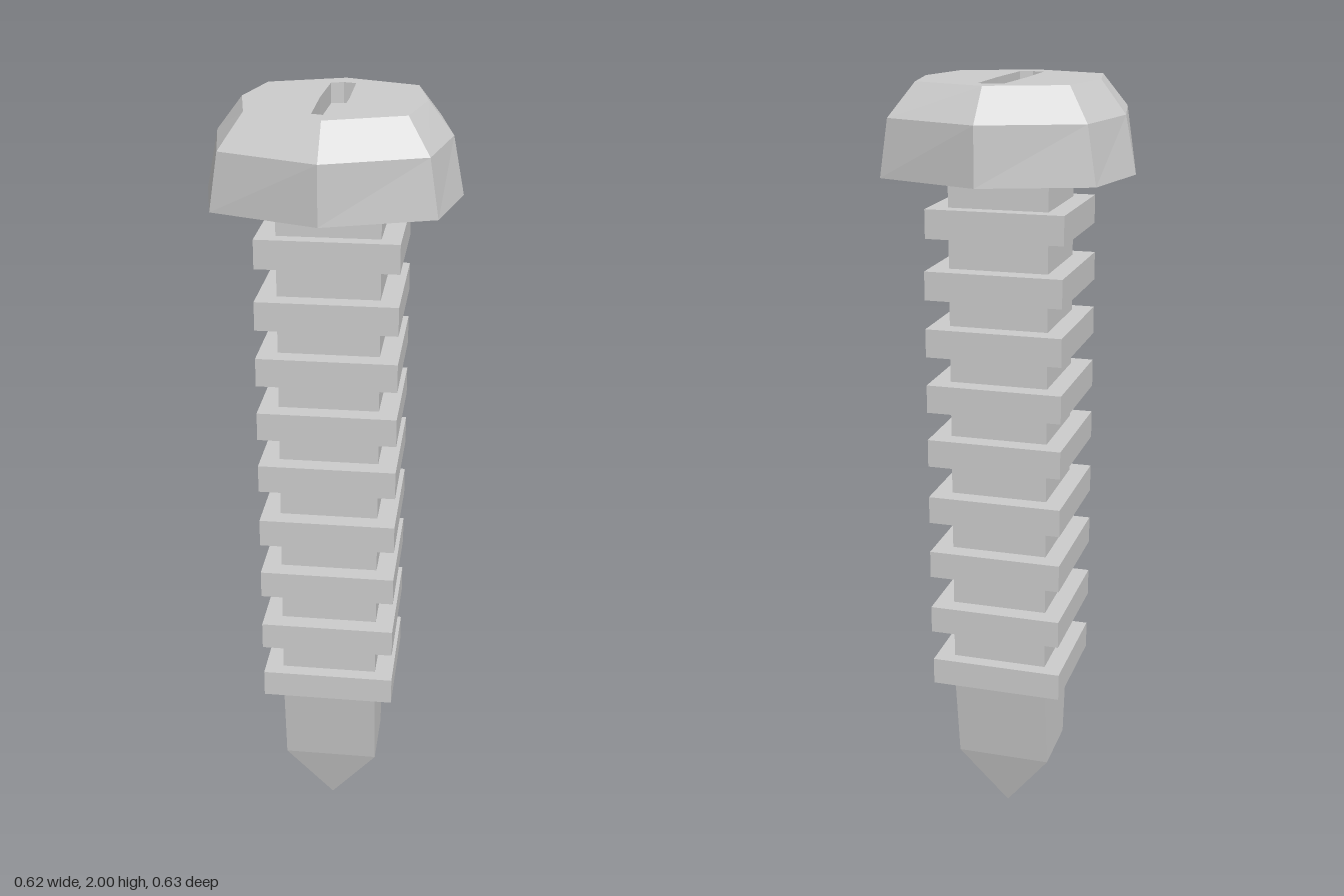
import * as THREE from 'three';

const material = new THREE.MeshStandardMaterial({ color: 0xcccccc, flatShading: true });

// Cross-sections at height y, counter-clockwise seen from above
const rect = (y, x, z) =>
  [[x, -z], [-x, -z], [-x, z], [x, z]].map(([a, b]) => new THREE.Vector3(a, y, b));
const octagon = (y, rx, rz, cx, cz) =>
  [[rx, 0], [cx, -cz], [0, -rz], [-cx, -cz], [-rx, 0], [-cx, cz], [0, rz], [cx, cz]]
    .map(([a, b]) => new THREE.Vector3(a, y, b));

// Flat-faced skin through the rings, with optional end caps
function loft(rings, capStart, capEnd) {
  const pos = [];
  const tri = (a, b, c) => {
    const area = b.clone().sub(a).cross(c.clone().sub(a)).length();
    if (area > 1e-8) for (const p of [a, b, c]) pos.push(p.x, p.y, p.z);
  };
  for (let r = 0; r < rings.length - 1; r++) {
    const lo = rings[r], hi = rings[r + 1], n = lo.length;
    for (let i = 0; i < n; i++) {
      const j = (i + 1) % n;
      tri(lo[i], lo[j], hi[j]);
      tri(lo[i], hi[j], hi[i]);
    }
  }
  const first = rings[0], last = rings[rings.length - 1];
  for (let i = 1; i < first.length - 1; i++) {
    if (capStart) tri(first[0], first[i + 1], first[i]);
    if (capEnd) tri(last[0], last[i], last[i + 1]);
  }
  const geometry = new THREE.BufferGeometry();
  geometry.setAttribute('position', new THREE.Float32BufferAttribute(pos, 3));
  geometry.computeVertexNormals();
  return geometry;
}

export function createModel() {
  const group = new THREE.Group();
  const add = (name, geometry, parent = group) => {
    const mesh = new THREE.Mesh(geometry, material);
    mesh.name = name;
    parent.add(mesh);
    return mesh;
  };

  // Head: bevelled octagonal dome with a slot cut in its flat top
  const head = new THREE.Group();
  head.name = 'head';
  group.add(head);
  const rim = octagon(2, 0.22, 0.248, 0.186, 0.174);
  const slot = y => octagon(y, 0.035, 0.19, 0.031, 0.181);
  add('headSides', loft([
    octagon(1.78, 0.31, 0.317, 0.262, 0.223),
    octagon(1.92, 0.282, 0.317, 0.24, 0.223),
    rim,
  ], true, false), head);

  const flat = ring => ring.map(p => new THREE.Vector2(p.x, -p.z));
  const face = new THREE.Shape(flat(rim));
  face.holes.push(new THREE.Path(flat(slot(2))));
  add('headTop', new THREE.ShapeGeometry(face).rotateX(-Math.PI / 2).translate(0, 2, 0), head);
  add('slot', loft([slot(2), slot(1.95)], false, true), head);

  // Square shaft
  add('shaft', loft([rect(0.41, 0.126, 0.126), rect(1.78, 0.126, 0.126)], true, true));

  // Square thread ridges, slightly shallower at both ends
  const heights = [0.45, 0.61, 0.77, 0.924, 1.08, 1.225, 1.37, 1.515, 1.665];
  heights.forEach((y, i) => {
    const depth = i === 0 || i === heights.length - 1 ? 0.163 : 0.174;
    add(`thread${i + 1}`, loft(
      [rect(y - 0.036, 0.174, depth), rect(y + 0.036, 0.174, depth)], true, true));
  });

  // Tapered chisel tip ending in a short edge along z
  add('tip', loft([
    rect(0, 0, 0.043),
    rect(0.17, 0.126, 0.09),
    rect(0.414, 0.126, 0.126),
  ], false, true));

  return group;
}
